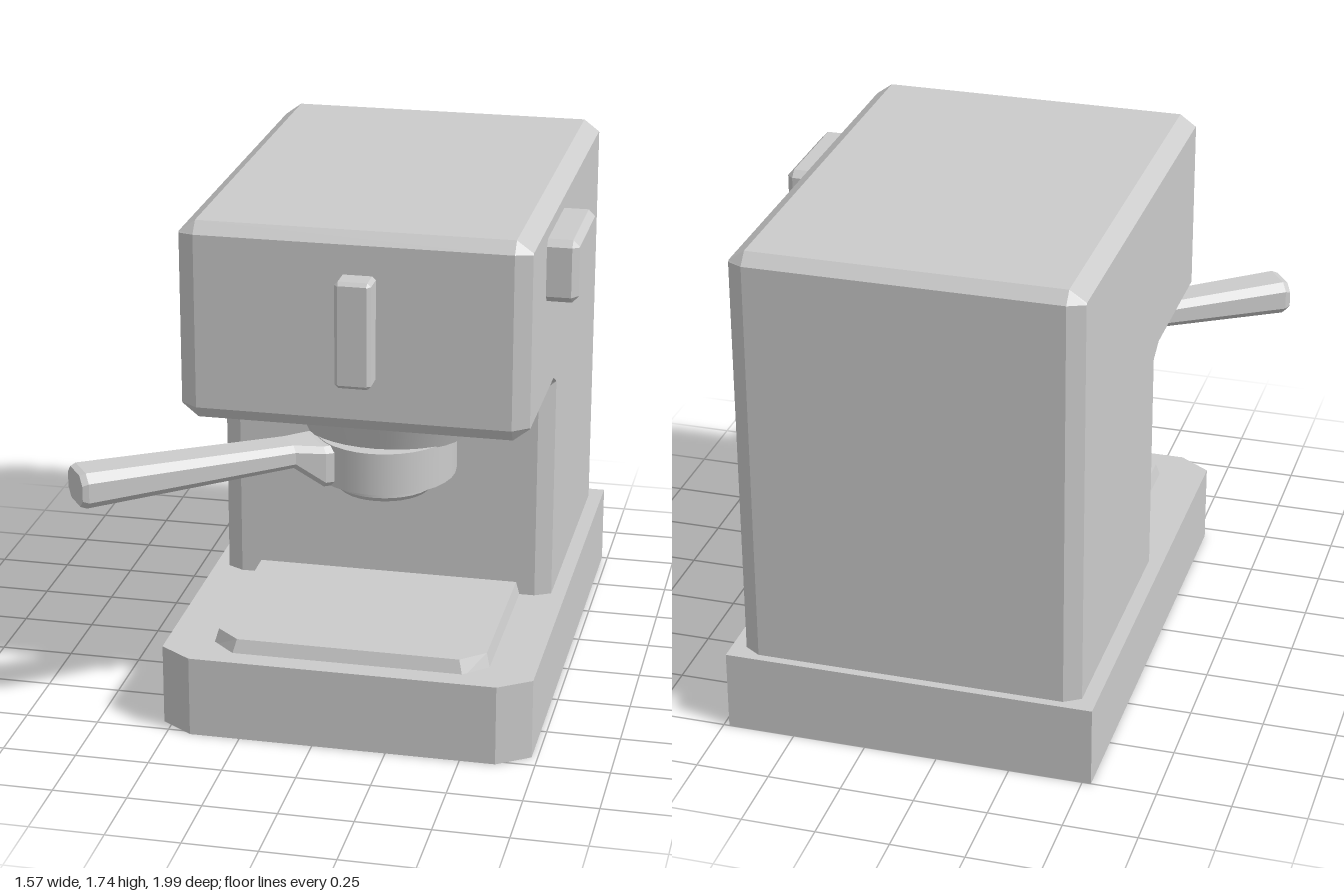
import * as THREE from 'three';

const grey = new THREE.MeshStandardMaterial({ color: 0xcccccc, flatShading: true });
const smoothGrey = new THREE.MeshStandardMaterial({ color: 0xcccccc });

// Joins outlines (counter-clockwise [u, v] points) placed at heights w, with flat end caps
function loft(levels) {
  const pos = [];
  const put = (level, i) => pos.push(...level.pts[i], level.w);
  for (let k = 0; k < levels.length - 1; k++) {
    const lo = levels[k], hi = levels[k + 1], n = lo.pts.length;
    for (let i = 0; i < n; i++) {
      const j = (i + 1) % n;
      put(lo, i); put(lo, j); put(hi, j);
      put(lo, i); put(hi, j); put(hi, i);
    }
  }
  const cap = (level, flip) => {
    const outline = level.pts.map(([u, v]) => new THREE.Vector2(u, v));
    for (const [a, b, c] of THREE.ShapeUtils.triangulateShape(outline, [])) {
      put(level, a); put(level, flip ? c : b); put(level, flip ? b : c);
    }
  };
  cap(levels[0], true);
  cap(levels[levels.length - 1], false);
  const g = new THREE.BufferGeometry();
  g.setAttribute('position', new THREE.Float32BufferAttribute(pos, 3));
  g.computeVertexNormals();
  return g;
}

// Rectangle with all four corners cut by c
const cutRect = (u0, u1, v0, v1, c) => [
  [u0 + c, v0], [u1 - c, v0], [u1, v0 + c], [u1, v1 - c],
  [u1 - c, v1], [u0 + c, v1], [u0, v1 - c], [u0, v0 + c],
];

// Plan outline with the two front corners cut (v = -z)
const frontCutPlan = (x0, x1, zBack, zFront, cx, cz) => [
  [x0 + cx, -zFront], [x1 - cx, -zFront], [x1, -zFront + cz],
  [x1, -zBack], [x0, -zBack], [x0, -zFront + cz],
];

// Box with its outer edges bevelled, growing along w
const knob = (hu, hv, depth, c) => loft([
  { pts: cutRect(-hu, hu, -hv, hv, c), w: -0.02 },
  { pts: cutRect(-hu, hu, -hv, hv, c), w: depth - c },
  { pts: cutRect(-hu + c, hu - c, -hv + c, hv - c, 0.002), w: depth },
]);

export function createModel() {
  const model = new THREE.Group();
  const add = (name, geometry, material = grey) => {
    const mesh = new THREE.Mesh(geometry, material);
    mesh.name = name;
    model.add(mesh);
    return mesh;
  };

  // Base slab
  const basePlan = frontCutPlan(-0.53, 0.73, -1, 0.77, 0.11, 0.075);
  add('base', loft([{ pts: basePlan, w: 0 }, { pts: basePlan, w: 0.28 }]).rotateX(-Math.PI / 2));

  // Drip tray on the base
  add('dripTray', loft([
    { pts: frontCutPlan(-0.37, 0.575, -0.05, 0.7, 0.08, 0.075), w: 0.27 },
    { pts: frontCutPlan(-0.355, 0.56, -0.05, 0.68, 0.08, 0.07), w: 0.325 },
  ]).rotateX(-Math.PI / 2));

  // Housing: column and overhang as one side profile [z, y], bevelled towards both sides
  const full = [
    [0.02, 0.2], [0.02, 1.03], [0.06, 1.065], [0.56, 1.065], [0.59, 1.107],
    [0.59, 1.7], [0.555, 1.74], [-0.935, 1.74], [-0.97, 1.7], [-0.97, 0.2],
  ];
  const inset = [
    [-0.01, 0.2], [-0.01, 1.07], [0.06, 1.107], [0.555, 1.107], [0.56, 1.112],
    [0.56, 1.695], [0.555, 1.7], [-0.93, 1.7], [-0.935, 1.695], [-0.935, 0.2],
  ];
  add('housing', loft([
    { pts: inset, w: -0.58 }, { pts: full, w: -0.525 },
    { pts: full, w: 0.525 }, { pts: inset, w: 0.58 },
  ]).rotateY(-Math.PI / 2)).position.x = 0.1;

  // Switch on the front, steam control on the side
  add('frontSwitch', knob(0.06, 0.18, 0.085, 0.012)).position.set(0.118, 1.42, 0.59);
  add('sideKnob', knob(0.198, 0.107, 0.105, 0.022).rotateY(Math.PI / 2)).position.set(0.68, 1.552, 0.082);

  // Brew head, filter basket and spout under the overhang
  const brewHead = add('brewHead', new THREE.CylinderGeometry(1, 0.83, 0.115, 32), smoothGrey);
  brewHead.scale.set(0.32, 1, 0.24);
  brewHead.position.set(0.155, 1.0275, 0.3);
  const basket = add('filterBasket', new THREE.CylinderGeometry(1, 1, 0.145, 32), smoothGrey);
  basket.scale.set(0.238, 1, 0.255);
  basket.position.set(0.152, 0.9025, 0.295);
  add('spout', new THREE.CylinderGeometry(0.172, 0.172, 0.06, 32), smoothGrey).position.set(0.147, 0.815, 0.293);
  add('spoutRim', new THREE.CylinderGeometry(0.172, 0.155, 0.018, 32), smoothGrey).position.set(0.147, 0.776, 0.293);

  // Handle reaching out from the basket; stations are [distance, half width, bottom, top, corner cut]
  const stations = [
    [0.15, 0.1, 0.83, 0.972, 0.02],
    [0.255, 0.095, 0.83, 0.972, 0.02],
    [0.35, 0.066, 0.9, 0.98, 0.02],
    [1.07, 0.08, 0.875, 0.997, 0.028],
    [1.09, 0.074, 0.882, 0.99, 0.028],
  ];
  add('handle', loft(stations.map(([w, h, y0, y1, c]) => ({ pts: cutRect(-h, h, y0, y1, c), w })))
    .rotateY(Math.atan2(-0.815, 0.58))).position.set(0.15, 0, 0.3);

  return model;
}
